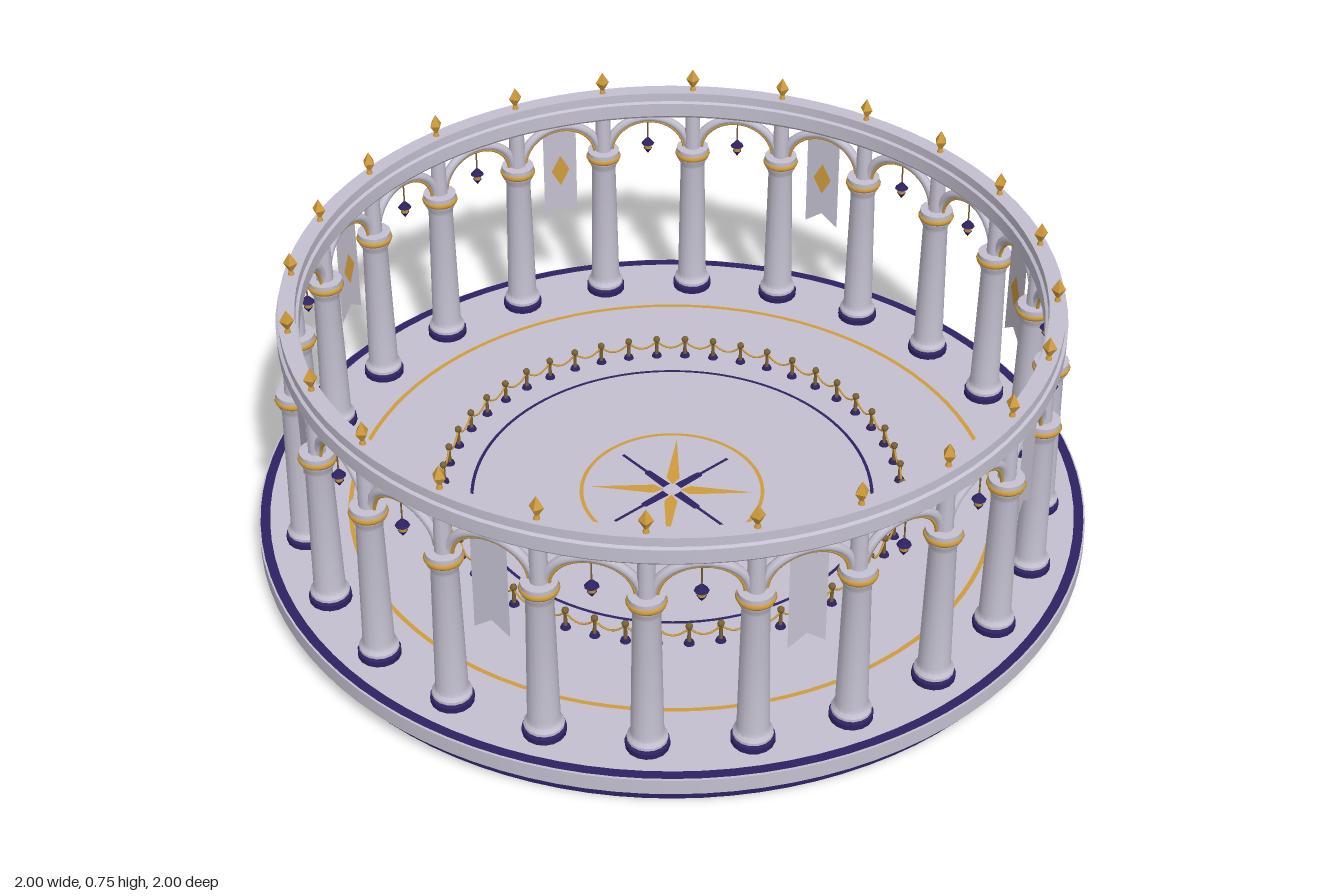
import * as THREE from 'three';
import { toCreasedNormals } from 'three/addons/utils/BufferGeometryUtils.js';

const FLOOR = 0.085, R = 0.887, COUNT = 24, STEP = Math.PI * 2 / COUNT;

export function createModel() {
  const model = new THREE.Group();
  model.name = 'colonnade';
  const material = (name, color, side = THREE.FrontSide) => {
    const m = new THREE.MeshStandardMaterial({ color, side });
    m.name = name;
    return m;
  };
  const stone = material('pale lavender stone', 0xc4c0d0, THREE.DoubleSide);
  const purple = material('deep purple', 0x2e2262, THREE.DoubleSide);
  const gold = material('gold', 0xcf9c3c, THREE.DoubleSide);
  const brass = material('dark brass', 0x7a6234);

  const add = (parent, name, geometry, mat, x = 0, y = 0, z = 0) => {
    const mesh = new THREE.Mesh(geometry, mat);
    mesh.name = name;
    mesh.position.set(x, y, z);
    parent.add(mesh);
    return mesh;
  };
  const lathe = (points, segments) => toCreasedNormals(
    new THREE.LatheGeometry(points.map(([r, y]) => new THREE.Vector2(r, y)), segments), 0.6);
  // group turned about the centre, its local +z pointing outwards
  const spoke = (name, angle) => {
    const g = new THREE.Group();
    g.name = name;
    g.rotation.y = angle;
    model.add(g);
    return g;
  };
  const shape = (points) => new THREE.ShapeGeometry(
    new THREE.Shape(points.map(([x, y]) => new THREE.Vector2(x, y))));
  // tube over an arc of the circle, height given by a rule of t in -1..1
  const arcTube = (radius, halfAngle, height, thickness, segments, sides) => {
    const points = [];
    for (let i = 0; i <= segments; i++) {
      const u = -Math.PI / 2 + Math.PI * i / segments;
      const t = Math.sin(u), a = t * halfAngle;
      points.push(new THREE.Vector3(radius * Math.sin(a), height(t), radius * Math.cos(a)));
    }
    return new THREE.TubeGeometry(new THREE.CatmullRomCurve3(points), segments, thickness, sides);
  };

  // Platform: hollow plinth, overhanging rim and floor
  add(model, 'plinthWall', new THREE.CylinderGeometry(0.968, 0.968, 0.045, 96, 1, true), purple, 0, 0.0225, 0);
  add(model, 'platformRim', new THREE.CylinderGeometry(1, 1, 0.04, 96, 1, true), stone, 0, 0.065, 0);
  add(model, 'floor', new THREE.CircleGeometry(1, 96).rotateX(-Math.PI / 2), stone, 0, FLOOR, 0);

  // Inlaid floor rings
  const inlay = (name, inner, outer, mat) => add(model, name,
    new THREE.RingGeometry(inner, outer, 96).rotateX(-Math.PI / 2), mat, 0, FLOOR + 0.002, 0);
  inlay('edgeBand', 0.973, 0.996, purple);
  inlay('outerGoldRing', 0.774, 0.785, gold);
  inlay('purpleRing', 0.483, 0.491, purple);
  inlay('innerGoldRing', 0.216, 0.225, gold);

  // Compass star
  const goldRay = shape([[0, 0.02], [0.016, 0.045], [0, 0.2], [-0.016, 0.045]]).rotateX(-Math.PI / 2);
  const purpleRay = shape([[-0.011, 0.02], [0.011, 0.02], [0.009, 0.09], [0.004, 0.095], [0.004, 0.183],
    [-0.004, 0.183], [-0.004, 0.095], [-0.009, 0.09]]).rotateX(-Math.PI / 2);
  for (let i = 0; i < 8; i++) {
    const diagonal = i % 2 === 1;
    add(spoke('compassRay', i * Math.PI / 4), diagonal ? 'goldRay' : 'purpleRay',
      diagonal ? goldRay : purpleRay, diagonal ? gold : purple, 0, FLOOR + 0.003, 0);
  }

  // Columns with capitals, upper piers and finials
  const foot = lathe([[0, FLOOR], [0.05, FLOOR], [0.05, 0.099], [0.04, 0.102]], 16);
  const shaft = lathe([[0.04, 0.1], [0.046, 0.106], [0.046, 0.113], [0.039, 0.122], [0.037, 0.135],
    [0.031, 0.465], [0.033, 0.475], [0.041, 0.49], [0.041, 0.518], [0, 0.52]], 16);
  const collar = new THREE.TorusGeometry(0.036, 0.009, 8, 20).rotateX(Math.PI / 2);
  const pier = new THREE.CylinderGeometry(0.019, 0.021, 0.115, 10);
  const finial = new THREE.OctahedronGeometry(1, 0).scale(0.017, 0.029, 0.017);
  const finialStem = new THREE.CylinderGeometry(0.005, 0.009, 0.014, 8);

  // Arches, with a thin gold line beneath
  const arch = arcTube(R, STEP / 2 - 0.012, t => 0.512 + 0.095 * Math.sqrt(Math.max(0, 1 - t * t)), 0.011, 20, 8);
  const archTrim = arcTube(R, STEP / 2 - 0.026, t => 0.512 + 0.083 * Math.sqrt(Math.max(0, 1 - t * t)), 0.004, 20, 6);

  // Banner outlines and lantern parts
  const cloth = shape([[-0.044, 0.605], [-0.044, 0.335], [0, 0.368], [0.044, 0.335], [0.044, 0.605]]);
  const emblem = shape([[0, 0.43], [0.024, 0.475], [0, 0.52], [-0.024, 0.475]]);
  const rod = new THREE.CylinderGeometry(0.004, 0.004, 0.1, 6).rotateZ(Math.PI / 2);
  const cord = new THREE.CylinderGeometry(0.002, 0.002, 0.06, 5);
  const cap = new THREE.ConeGeometry(0.017, 0.02, 8);
  const lamp = new THREE.CylinderGeometry(0.011, 0.009, 0.017, 8);
  const drop = new THREE.ConeGeometry(0.011, 0.016, 8).rotateX(Math.PI);

  for (let i = 0; i < COUNT; i++) {
    const column = spoke('column', i * STEP);
    add(column, 'columnFoot', foot, purple, 0, 0, R);
    add(column, 'columnShaft', shaft, stone, 0, 0, R);
    add(column, 'capitalCollar', collar, gold, 0, 0.5, R);
    add(column, 'upperPier', pier, stone, 0, 0.57, R);
    add(column, 'finialStem', finialStem, gold, 0, 0.69, R);
    add(column, 'finial', finial, gold, 0, 0.718, R);

    const bay = spoke('bay', (i + 0.5) * STEP);
    add(bay, 'arch', arch, stone);
    add(bay, 'archTrim', archTrim, gold);
    if (i % 3 === 1) {
      add(bay, 'bannerRod', rod, gold, 0, 0.604, R);
      add(bay, 'banner', cloth, stone, 0, 0, R);
      add(bay, 'bannerEmblem', emblem, gold, 0, 0, R - 0.003);
    } else {
      add(bay, 'lanternCord', cord, brass, 0, 0.575, R);
      add(bay, 'lanternCap', cap, purple, 0, 0.538, R);
      add(bay, 'lanternLamp', lamp, gold, 0, 0.521, R);
      add(bay, 'lanternDrop', drop, purple, 0, 0.506, R);
    }
  }

  // Ring beam resting on the arches
  add(model, 'ringBeam', lathe([[0.866, 0.617], [0.907, 0.617], [0.913, 0.624], [0.913, 0.66], [0.906, 0.664],
    [0.906, 0.687], [0.868, 0.687], [0.868, 0.664], [0.861, 0.66], [0.861, 0.624], [0.866, 0.617]], 96), stone);

  // Inner barrier of posts and sagging chains
  const POSTS = 48, RAIL = 0.558, GAP = Math.PI * 2 / POSTS;
  const postFoot = new THREE.CylinderGeometry(0.01, 0.013, 0.008, 10);
  const post = new THREE.CylinderGeometry(0.004, 0.005, 0.05, 8);
  const knob = new THREE.SphereGeometry(0.009, 8, 6);
  const chain = arcTube(RAIL, GAP / 2, t => 0.11 + 0.022 * t * t, 0.0025, 8, 5);
  for (let i = 0; i < POSTS; i++) {
    const barrier = spoke('barrierPost', i * GAP);
    add(barrier, 'postFoot', postFoot, purple, 0, FLOOR + 0.004, RAIL);
    add(barrier, 'post', post, brass, 0, FLOOR + 0.025, RAIL);
    add(barrier, 'postKnob', knob, brass, 0, 0.137, RAIL);
    add(spoke('barrierChain', (i + 0.5) * GAP), 'chain', chain, gold);
  }

  return model;
}
